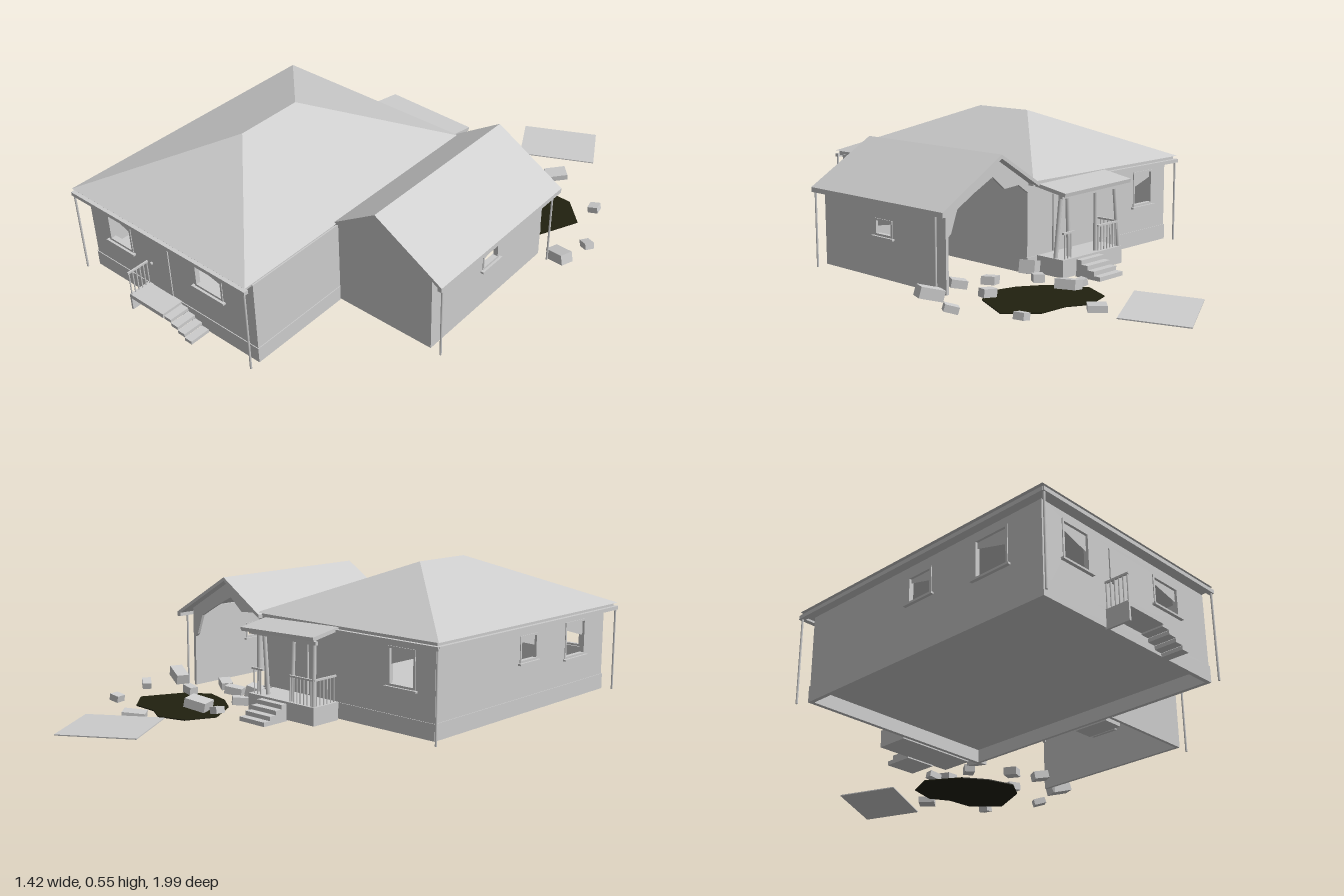
import * as THREE from 'three';

export function createModel() {
  const house = new THREE.Group();
  house.name = 'damagedHouse';
  const grey = new THREE.MeshStandardMaterial({ color: 0xcccccc, side: THREE.DoubleSide });
  grey.name = 'plain grey';
  const dark = new THREE.MeshStandardMaterial({ color: 0x20200f, side: THREE.DoubleSide });
  dark.name = 'scorched earth';

  const add = (name, geo, parent = house, mat = grey) => {
    const mesh = new THREE.Mesh(geo, mat);
    mesh.name = name;
    parent.add(mesh);
    return mesh;
  };
  // Box given by its limits on each axis
  const box = (name, x0, x1, y0, y1, z0, z1, parent) => {
    const mesh = add(name, new THREE.BoxGeometry(x1 - x0, y1 - y0, z1 - z0), parent);
    mesh.position.set((x0 + x1) / 2, (y0 + y1) / 2, (z0 + z1) / 2);
    return mesh;
  };
  const outline = pts => new THREE.Shape(pts.map(p => new THREE.Vector2(p[0], p[1])));
  const slab = (pts, depth) => new THREE.ExtrudeGeometry(outline(pts), { depth, bevelEnabled: false });
  const rect = (x0, x1, y0, y1) => [[x0, y0], [x1, y0], [x1, y1], [x0, y1]];
  // Round bar between two points
  const bar = (name, a, b, r, parent) => {
    const p = new THREE.Vector3(...a), q = new THREE.Vector3(...b);
    const mesh = add(name, new THREE.CylinderGeometry(r, r, p.distanceTo(q), 8), parent);
    mesh.position.copy(p).add(q).multiplyScalar(0.5);
    mesh.quaternion.setFromUnitVectors(new THREE.Vector3(0, 1, 0), q.sub(p).normalize());
  };

  // Frame, sill and broken pane in the plane of a wall
  function windowUnit(parent, [x0, x1, y0, y1]) {
    const g = new THREE.Group();
    g.name = 'window';
    parent.add(g);
    const t = 0.008;
    box('frameLeft', x0, x0 + t, y0, y1, -0.003, 0.015, g);
    box('frameRight', x1 - t, x1, y0, y1, -0.003, 0.015, g);
    box('frameTop', x0, x1, y1 - t, y1, -0.003, 0.015, g);
    box('frameBottom', x0, x1, y0, y0 + t, -0.003, 0.015, g);
    box('sill', x0 - 0.01, x1 + 0.01, y0 - 0.007, y0, -0.012, 0.024, g);
    const h = y1 - y0;
    const pane = add('brokenPane', new THREE.ShapeGeometry(outline(
      [[x0, y0 + h * 0.8], [x1, y0 + h * 0.52], [x1, y1], [x0, y1]])), g);
    pane.position.z = 0.006;
  }

  // Wall panel with window openings; side walls have their outline in z and y
  function wall(name, pts, windows, offset, side = false) {
    const g = new THREE.Group();
    g.name = name;
    const shape = outline(pts);
    for (const w of windows) shape.holes.push(new THREE.Path(rect(...w).map(p => new THREE.Vector2(...p))));
    add(name + 'Panel', new THREE.ExtrudeGeometry(shape, { depth: 0.012, bevelEnabled: false }), g);
    windows.forEach(w => windowUnit(g, w));
    if (side) { g.rotation.y = -Math.PI / 2; g.position.x = offset; } else g.position.z = offset;
    house.add(g);
  }

  // Main house walls, plinth and floor
  wall('frontWall', rect(-0.67, 0.15, 0.01, 0.34),
    [[-0.58, -0.455, 0.17, 0.31], [-0.135, 0, 0.192, 0.3]], 0.894);
  wall('backWall', rect(-0.67, 0.15, 0.01, 0.34), [[-0.585, -0.465, 0.17, 0.31]], -0.16);
  wall('rightWall', rect(-0.16, 0.906, 0.01, 0.34),
    [[0.33, 0.44, 0.2, 0.3], [0.63, 0.77, 0.17, 0.31]], -0.658, true);
  wall('leftWall', rect(-0.16, 0.906, 0.01, 0.34), [], 0.15, true);
  box('floor', -0.66, 0.14, 0.06, 0.07, -0.15, 0.9);
  box('plinthFront', -0.673, 0.152, 0.01, 0.07, 0.9, 0.909);
  box('plinthBack', -0.673, 0.152, 0.01, 0.07, -0.163, -0.155);
  box('plinthRight', -0.673, -0.665, 0.01, 0.07, -0.163, 0.909);
  box('plinthLeft', 0.145, 0.153, 0.01, 0.07, 0.5, 0.909);

  // Doors
  box('frontDoor', -0.36, -0.262, 0.075, 0.3, 0.904, 0.91);
  box('frontDoorHandle', -0.355, -0.348, 0.175, 0.182, 0.91, 0.918);
  box('backDoor', -0.085, 0.015, 0.075, 0.29, -0.166, -0.16);

  // Hipped roof over a closed soffit
  const hip = new THREE.BufferGeometry();
  hip.setAttribute('position', new THREE.Float32BufferAttribute([
    -0.708, 0.355, 0.945, 0.155, 0.355, 0.945, 0.155, 0.355, -0.195, -0.708, 0.355, -0.195,
    -0.275, 0.545, 0.51, -0.275, 0.545, 0.24], 3));
  hip.setIndex([0, 1, 4, 1, 2, 5, 1, 5, 4, 2, 3, 5, 3, 0, 4, 3, 4, 5, 0, 3, 2, 0, 2, 1]);
  const hipFlat = hip.toNonIndexed();
  hipFlat.computeVertexNormals();
  add('hippedRoof', hipFlat);
  box('fascia', -0.695, 0.145, 0.336, 0.356, -0.185, 0.935);
  // Gutters and downpipes
  box('gutterFront', -0.708, 0.155, 0.328, 0.342, 0.932, 0.95);
  box('gutterBack', -0.708, -0.255, 0.328, 0.342, -0.2, -0.182);
  box('gutterRight', -0.71, -0.692, 0.328, 0.342, -0.195, 0.945);
  for (const [x, y, z] of [[-0.7, 0.335, 0.943], [0.147, 0.335, 0.943], [-0.7, 0.335, -0.19],
    [0.597, 0.3, 0.495], [0.597, 0.3, -0.16]])
    bar('downpipe', [x, 0.005, z], [x, y, z], 0.004);

  // Garage: closed front gable, windowed side, open broken back
  wall('garageFront', [[0.15, 0.01], [0.555, 0.01], [0.555, 0.325], [0.325, 0.46], [0.15, 0.348]], [], 0.483);
  wall('garageSide', rect(-0.165, 0.495, 0.01, 0.322), [[0.11, 0.205, 0.165, 0.228]], 0.555, true);
  wall('garageBackRemnant', [[0.15, 0.348], [0.15, 0.31], [0.2, 0.345], [0.27, 0.34], [0.33, 0.39],
    [0.42, 0.345], [0.5, 0.3], [0.53, 0.22], [0.555, 0.2], [0.555, 0.325], [0.325, 0.46]], [], -0.165);
  const garageRoof = add('garageRoof', slab([[0.133, 0.35], [0.325, 0.472], [0.605, 0.308],
    [0.605, 0.294], [0.325, 0.458], [0.133, 0.336]], 0.715));
  garageRoof.position.z = -0.205;
  box('garageGutter', 0.588, 0.605, 0.29, 0.304, -0.205, 0.51);
  // Steps down from the house into the garage
  box('garageStepLow', 0.15, 0.23, 0.005, 0.03, 0.33, 0.47);
  box('garageStepHigh', 0.15, 0.19, 0.03, 0.055, 0.33, 0.47);

  // Front porch with steps to one side
  box('frontPorch', -0.39, -0.22, 0.055, 0.072, 0.905, 0.995);
  box('frontPorchPanel', -0.392, -0.384, 0.005, 0.072, 0.905, 0.995);
  for (let i = 0; i < 4; i++) {
    const x = -0.22 + i * 0.0325, y = 0.062 - i * 0.0145;
    box('frontStep', x, x + 0.033, y - 0.013, y, 0.91, 0.99);
  }
  box('frontRail', -0.388, -0.382, 0.163, 0.17, 0.905, 0.995);
  for (let i = 0; i < 6; i++)
    bar('frontBaluster', [-0.385, 0.07, 0.91 + i * 0.016], [-0.385, 0.166, 0.91 + i * 0.016], 0.0025);

  // Back porch with leaning posts, railings and steps
  box('backPorch', -0.235, 0.1, 0.005, 0.072, -0.29, -0.163);
  const porchRoof = add('backPorchRoof', new THREE.BoxGeometry(0.37, 0.014, 0.155));
  porchRoof.position.set(-0.07, 0.33, -0.235);
  porchRoof.rotation.set(-0.16, 0, -0.025);
  box('backPorchBeam', -0.24, 0.1, 0.295, 0.308, -0.285, -0.272);
  [[-0.225, -0.215], [-0.105, -0.11], [0.03, 0.045], [0.09, 0.075]].forEach(([x, top], i) =>
    bar('backPorchPost', [x, 0.07, -0.28 + i * 0.012], [top, 0.31, -0.265 + i * 0.003], 0.008));
  for (const [x0, x1] of [[-0.225, -0.105], [0.03, 0.09]]) {
    box('backRail', x0, x1, 0.163, 0.17, -0.283, -0.275);
    for (let x = x0 + 0.015; x < x1; x += 0.017)
      bar('backBaluster', [x, 0.07, -0.279], [x, 0.166, -0.279], 0.0025);
  }
  box('sideRail', -0.229, -0.221, 0.163, 0.17, -0.28, -0.165);
  for (let i = 0; i < 6; i++)
    bar('sideBaluster', [-0.225, 0.07, -0.265 + i * 0.018], [-0.225, 0.166, -0.265 + i * 0.018], 0.0025);
  for (let i = 0; i < 4; i++)
    box('backStep', -0.1, 0.028, 0, 0.064 - i * 0.016, -0.315 - i * 0.029, -0.286 - i * 0.029);

  // Scorched crater on the ground
  const crater = add('crater', slab([[0.12, 0.43], [0.17, 0.54], [0.28, 0.573], [0.36, 0.53], [0.47, 0.525],
    [0.565, 0.43], [0.49, 0.27], [0.4, 0.21], [0.29, 0.24], [0.2, 0.3]], 0.004), house, dark);
  crater.rotation.x = -Math.PI / 2;

  // Blown-off panel lying behind the house
  const panel = add('fallenPanel', new THREE.BoxGeometry(0.305, 0.004, 0.236));
  panel.position.set(0.226, 0.025, -0.824);
  panel.rotation.set(-0.06, 0.487, 0, 'XYZ');

  // Rubble blocks: x, y, z, width, height, depth, turn, tilt
  for (const [x, y, z, w, h, d, turn, tilt] of [
    [0.33, 0.016, -0.64, 0.085, 0.022, 0.065, 0.75, 0.1],
    [0.575, 0.018, -0.535, 0.04, 0.025, 0.04, 0.2, 0.2],
    [0.675, 0.02, -0.315, 0.05, 0.025, 0.035, -0.6, 0.3],
    [0.64, 0.038, -0.175, 0.09, 0.04, 0.05, -0.35, 0.28],
    [0.225, 0.035, -0.425, 0.085, 0.035, 0.075, 0.4, 0.2],
    [0.145, 0.02, -0.405, 0.05, 0.025, 0.035, -0.2, -0.2],
    [0.46, 0.022, -0.268, 0.055, 0.03, 0.035, -0.15, 0.1],
    [0.17, 0.045, -0.19, 0.06, 0.05, 0.06, 0.4, 0.25],
    [0.19, 0.02, -0.25, 0.06, 0.03, 0.04, 0.9, 0.1],
    [0.33, 0.02, -0.15, 0.07, 0.03, 0.05, 0.5, 0.15],
    [0.44, 0.02, -0.1, 0.06, 0.03, 0.045, -0.5, 0.2]]) {
    const block = add('rubbleBlock', new THREE.BoxGeometry(w, h, d));
    block.position.set(x, y, z);
    block.rotation.set(0, turn, tilt);
  }
  return house;
}
